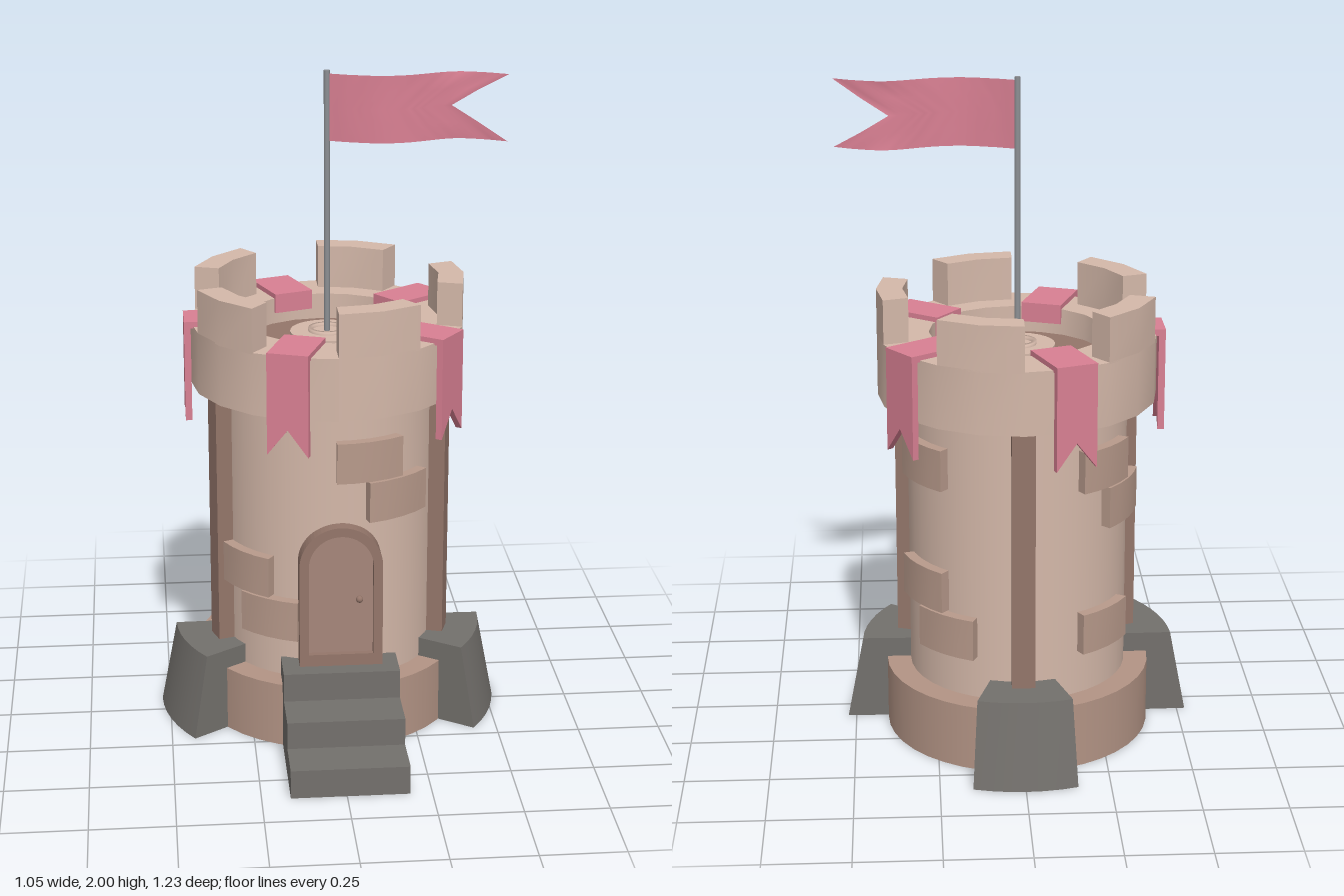
import * as THREE from 'three';

const mat = (color, extra = {}) => new THREE.MeshStandardMaterial({ color, ...extra });
const stone = mat(0xd4b8a9), brickStone = mat(0xb89a8b), brown = mat(0x94766a), doorWood = mat(0xa6867a);
const grey = mat(0x73706c), metal = mat(0x8d9094), cloth = mat(0xd98093);
const flagCloth = mat(0xd98093, { side: THREE.DoubleSide });
const rad = THREE.MathUtils.degToRad;

function add(parent, name, geometry, material, x = 0, y = 0, z = 0) {
  const mesh = new THREE.Mesh(geometry, material);
  mesh.name = name;
  mesh.position.set(x, y, z);
  parent.add(mesh);
  return mesh;
}

// Block bent around the tower axis; angles in degrees from +z towards +x
function sector(rIn, rOut, y0, y1, a0, a1, n, rOutTop = rOut) {
  const g = new THREE.BoxGeometry(1, 1, 1, n, 1, 1);
  const p = g.attributes.position;
  for (let i = 0; i < p.count; i++) {
    const a = rad(a0 + (p.getX(i) + 0.5) * (a1 - a0));
    const top = p.getY(i) > 0;
    const r = p.getZ(i) < 0 ? rIn : top ? rOutTop : rOut;
    p.setXYZ(i, r * Math.sin(a), top ? y1 : y0, r * Math.cos(a));
  }
  g.computeVertexNormals();
  return g;
}

function extrude(shape, depth) {
  return new THREE.ExtrudeGeometry(shape, { depth, bevelEnabled: false, curveSegments: 16 });
}

// Door outline with a round top
function arch(half, y0, ySpring, Type = THREE.Shape) {
  const s = new Type();
  s.moveTo(-half, y0);
  s.lineTo(half, y0);
  s.lineTo(half, ySpring);
  s.absarc(0, ySpring, half, 0, Math.PI, false);
  s.lineTo(-half, y0);
  return s;
}

export function createModel() {
  const model = new THREE.Group();
  model.name = 'castleTower';
  const tower = new THREE.Group();
  tower.name = 'tower';
  tower.position.z = -0.09;
  model.add(tower);

  // Drum and base
  add(tower, 'base', new THREE.CylinderGeometry(0.4, 0.4, 0.2, 40), mat(0xb39485), 0, 0.1, 0);
  add(tower, 'wall', new THREE.CylinderGeometry(0.328, 0.328, 0.95, 40), stone, 0, 0.665, 0);

  // Buttresses with posts above them
  for (const a of [180, 72, -72]) {
    add(tower, 'buttress', sector(0.31, 0.525, 0, 0.26, a - 17, a + 17, 6, 0.475), grey);
    const post = add(tower, 'post', new THREE.BoxGeometry(0.068, 0.83, 0.08), brown,
      0.335 * Math.sin(rad(a)), 0.65, 0.335 * Math.cos(rad(a)));
    post.rotation.y = rad(a);
  }

  // Raised stones: start angle, end angle, bottom height
  const bricks = [
    [0, 34, 0.84], [16, 51, 0.71], [-66, -34, 0.46], [-51, -19, 0.33],
    [106, 139, 0.84], [106, 139, 0.46], [123, 156, 0.33],
    [-150, -118, 0.84], [-134, -100, 0.71], [-150, -118, 0.335],
  ];
  for (const [a0, a1, y] of bricks) add(tower, 'brick', sector(0.31, 0.36, y, y + 0.125, a0, a1, 4), brickStone);

  // Crown, battlements and roof floor
  add(tower, 'crown', sector(0.262, 0.415, 1.055, 1.245, 0, 360, 20), stone);
  for (let k = 0; k < 5; k++) {
    const a = 18 + 72 * k;
    add(tower, 'merlon', sector(0.338, 0.415, 1.24, 1.378, a - 18, a + 18, 2), stone);
  }
  add(tower, 'roofFloor', new THREE.CylinderGeometry(0.27, 0.27, 0.08, 20), brown, 0, 1.125, 0);

  // Flagpole with its socket
  add(tower, 'poleBase', new THREE.CylinderGeometry(0.112, 0.112, 0.05, 28), stone, 0, 1.18, 0);
  const socket = [[0.045, 1.2], [0.045, 1.215], [0.057, 1.215], [0.057, 1.2]].map(([r, y]) => new THREE.Vector2(r, y));
  // profile runs inside to outside, so both faces are drawn
  add(tower, 'poleSocket', new THREE.LatheGeometry(socket, 28), mat(0xd4b8a9, { side: THREE.DoubleSide }));
  add(tower, 'flagpole', new THREE.CylinderGeometry(0.009, 0.009, 0.82, 12), metal, 0, 1.59, 0);

  // Swallow-tailed waving flag
  const wave = new THREE.SplineCurve([[0, 0], [0.07, 0.03], [0.16, 0.053], [0.25, 0.042], [0.37, 0], [0.45, 0.015], [0.53, 0.055]]
    .map(([x, z]) => new THREE.Vector2(x, z)));
  const waveTable = wave.getPoints(120);
  const waveZ = x => waveTable.reduce((b, q) => (Math.abs(q.x - x) < Math.abs(b.x - x) ? q : b)).y;
  const flag = new THREE.PlaneGeometry(1, 1, 28, 4);
  const fp = flag.attributes.position;
  for (let i = 0; i < fp.count; i++) {
    const v = fp.getY(i);
    const x = (fp.getX(i) + 0.5) * (0.37 + 0.32 * Math.abs(v));
    fp.setXYZ(i, x, 1.89 + v * 0.2, waveZ(x));
  }
  flag.computeVertexNormals();
  add(tower, 'flag', flag, flagCloth);

  // Banners draped through the gaps of the battlements
  const tail = new THREE.Shape([[-0.0625, 1.26], [-0.0625, 0.95], [0, 1.03], [0.0625, 0.95], [0.0625, 1.26]]
    .map(([x, y]) => new THREE.Vector2(x, y)));
  for (const a of [54, -20, -90, -160, 126]) {
    const banner = new THREE.Group();
    banner.name = 'banner';
    banner.rotation.y = rad(a);
    add(banner, 'bannerTail', extrude(tail, 0.02), cloth, 0, 0, 0.414);
    add(banner, 'bannerTop', new THREE.BoxGeometry(0.125, 0.02, 0.18), cloth, 0, 1.25, 0.335);
    add(banner, 'bannerInner', new THREE.BoxGeometry(0.125, 0.06, 0.018), cloth, 0, 1.23, 0.254);
    tower.add(banner);
  }

  // Arched door
  const door = new THREE.Group();
  door.name = 'door';
  door.position.x = 0.012;
  model.add(door);
  const frame = arch(0.125, 0.24, 0.58);
  frame.holes.push(arch(0.097, 0.297, 0.58, THREE.Path));
  add(door, 'doorFrame', extrude(frame, 0.1), brown, 0, 0, 0.178);
  add(door, 'doorPanel', extrude(arch(0.1, 0.29, 0.58), 0.08), doorWood, 0, 0, 0.18);
  add(door, 'doorKnob', new THREE.SphereGeometry(0.011, 12, 8), brown, 0.056, 0.47, 0.266);

  // Steps in one stair profile
  const stair = new THREE.Shape([[0.2, 0], [0.615, 0], [0.615, 0.088], [0.475, 0.088], [0.475, 0.172],
    [0.33, 0.172], [0.33, 0.26], [0.2, 0.26]].map(([z, y]) => new THREE.Vector2(z, y)));
  const steps = add(model, 'steps', extrude(stair, 0.35), grey, 0.185, 0, 0);
  steps.rotation.y = -Math.PI / 2;

  return model;
}
